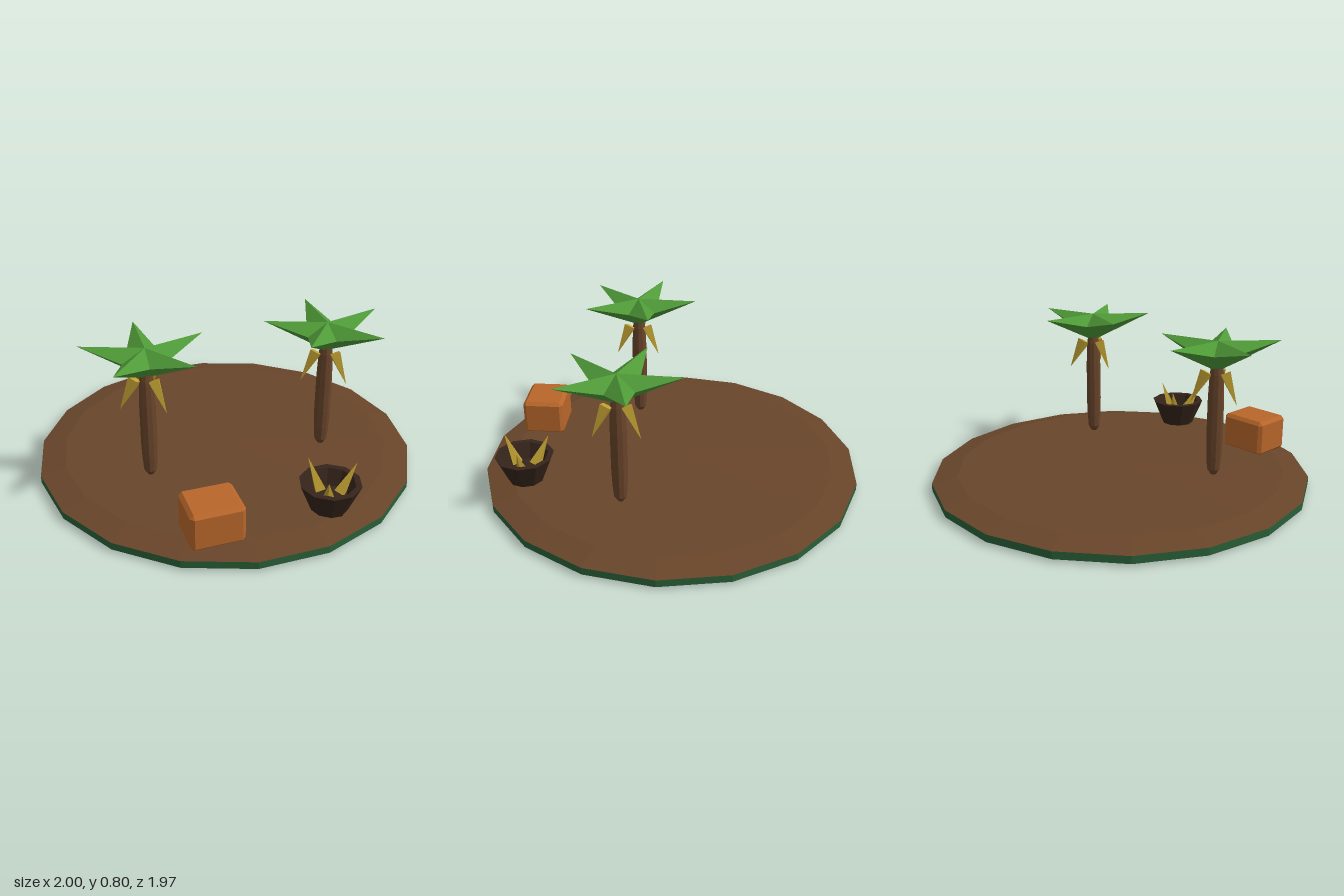
import * as THREE from 'three';
import { ConvexGeometry } from 'three/addons/geometries/ConvexGeometry.js';

const paint = (color) => new THREE.MeshStandardMaterial({ color, flatShading: true });
const earth = paint(0x68452a), moss = paint(0x2a6038), bark = paint(0x68442a);
const leafGreen = paint(0x4f9a38), yellow = paint(0xc0a032), orange = paint(0xb8662a), darkWood = paint(0x35241a);

function add(parent, name, geometry, material) {
  const mesh = new THREE.Mesh(geometry, material);
  mesh.name = name;
  parent.add(mesh);
  return mesh;
}

// Turned solid; the profile runs from the bottom upwards
const lathe = (profile, sides) =>
  new THREE.LatheGeometry(profile.map(([r, y]) => new THREE.Vector2(r, y)), sides, Math.PI / 2);

// Four-sided spike in the xy plane, from a base centre to a tip; u is the base's half-height vector
function spike(base, tip, u, halfWidth) {
  const geometry = new THREE.ConeGeometry(1, 1, 4).translate(0, 0.5, 0);
  const matrix = new THREE.Matrix4().makeBasis(
    new THREE.Vector3(u[0], u[1], 0),
    new THREE.Vector3(tip[0] - base[0], tip[1] - base[1], 0),
    new THREE.Vector3(0, 0, halfWidth)
  ).setPosition(base[0], base[1], 0);
  return geometry.applyMatrix4(matrix);
}

// Box with every edge cut off at 45 degrees
function chamferedBox(w, h, d, cut) {
  const points = [];
  for (const x of [-1, 1]) for (const y of [-1, 1]) for (const z of [-1, 1]) {
    for (let axis = 0; axis < 3; axis++) {
      const inset = [cut, cut, cut];
      inset[axis] = 0;
      points.push(new THREE.Vector3(x * (w / 2 - inset[0]), y * (h / 2 - inset[1]), z * (d / 2 - inset[2])));
    }
  }
  return new ConvexGeometry(points);
}

// Three fruits fanning outwards and up
function fruitBunch() {
  const bunch = new THREE.Group();
  bunch.name = 'fruitBunch';
  for (let i = 0; i < 3; i++) {
    add(bunch, 'fruit', spike([0.055, 0], [0.135, 0.15], [0.032, -0.017], 0.034), yellow)
      .rotation.y = i * Math.PI * 2 / 3;
  }
  return bunch;
}

function palmTree() {
  const tree = new THREE.Group();
  tree.name = 'palmTree';
  add(tree, 'trunk', lathe([[0, 0.093], [0.016, 0.098], [0.033, 0.125], [0.039, 0.2], [0.042, 0.3],
    [0.041, 0.5], [0.036, 0.63], [0.028, 0.68], [0, 0.7]], 10), bark);
  // Star of five leaves with level upper ridges
  for (let i = 0; i < 5; i++) {
    add(tree, 'leaf', spike([0, 0.7225], [0.32, 0.8], [0, -0.0775], 0.105), leafGreen)
      .rotation.y = THREE.MathUtils.degToRad(87 - 72 * i);
  }
  // Hanging fruits are the bunch turned upside down
  const fruits = fruitBunch();
  fruits.position.y = 0.645;
  fruits.rotation.z = Math.PI;
  tree.add(fruits);
  return tree;
}

export function createModel() {
  const model = new THREE.Group();
  model.name = 'palmIsland';

  // Island
  add(model, 'islandBase', lathe([[0, 0], [1, 0.012], [1, 0.05]], 18), moss);
  add(model, 'islandGround', lathe([[1, 0.05], [0.87, 0.078], [0, 0.084]], 18), earth);

  // Two palms
  for (const x of [-0.47, 0.47]) {
    const tree = palmTree();
    tree.position.set(x, 0, 0.22);
    model.add(tree);
  }

  // Crate
  add(model, 'crate', chamferedBox(0.262, 0.195, 0.225, 0.018), orange).position.set(-0.315, 0.168, 0.747);

  // Bowl of fruit
  const bowl = new THREE.Group();
  bowl.name = 'fruitBowl';
  bowl.position.set(0.278, 0, 0.742);
  add(bowl, 'bowl', lathe([[0, 0.072], [0.09, 0.072], [0.152, 0.22], [0.122, 0.22], [0.09, 0.14], [0, 0.14]], 10), darkWood);
  const fruits = fruitBunch();
  fruits.position.y = 0.15;
  bowl.add(fruits);
  model.add(bowl);

  return model;
}
